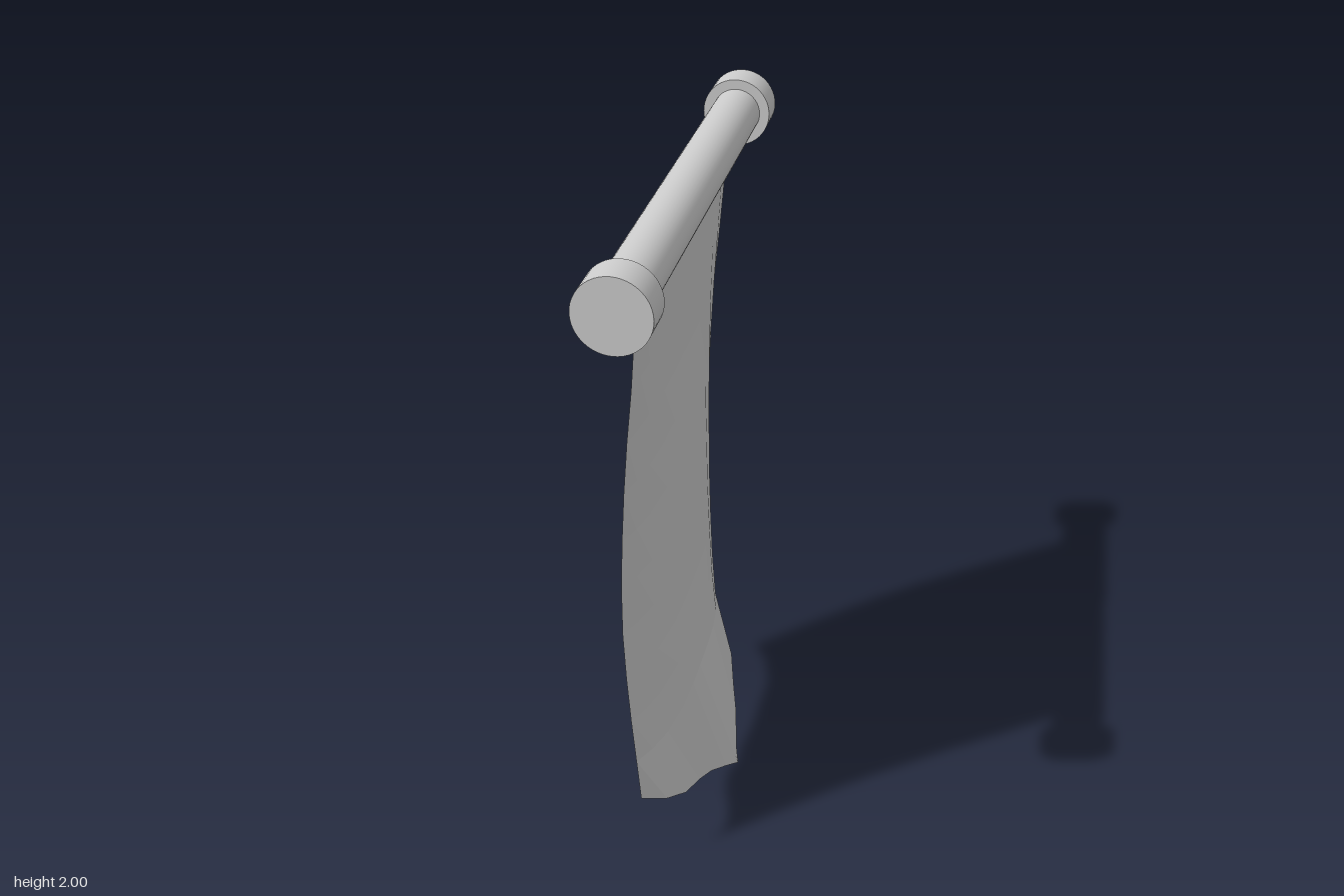
import * as THREE from 'three';

const ROD_X = -0.033, ROD_Y = 1.903;

// Height, +z edge, -z edge, then depth x at the middle, +z edge and -z edge
const ROWS = [
  [1.85, 0.525, 0.545, -0.035, -0.035, -0.035],
  [1.60, 0.523, 0.543, -0.039, -0.053, -0.056],
  [1.45, 0.521, 0.541, -0.040, -0.068, -0.070],
  [1.30, 0.519, 0.539, -0.038, -0.080, -0.083],
  [1.15, 0.517, 0.537, -0.035, -0.089, -0.094],
  [1.00, 0.515, 0.534, -0.030, -0.095, -0.103],
  [0.85, 0.512, 0.528, -0.025, -0.096, -0.107],
  [0.70, 0.509, 0.520, -0.017, -0.090, -0.107],
  [0.55, 0.505, 0.510, -0.007, -0.081, -0.105],
  [0.40, 0.500, 0.499, 0.010, -0.070, -0.103],
];

// Pointed, curled hem: x, y, z
const HEM = [
  [-0.06, 0.26, 0.495], [0, 0.215, 0.43], [0.038, 0.175, 0.35], [0.05, 0.115, 0.22],
  [0.065, 0.065, 0.12], [0.095, 0.015, 0.03], [0.125, 0, -0.01], [0.11, 0.015, -0.06],
  [0.085, 0.08, -0.17], [0.06, 0.125, -0.25], [0.035, 0.17, -0.34],
  [-0.02, 0.215, -0.43], [-0.10, 0.26, -0.485],
];

function clothGeometry() {
  const points = [];
  // Hanging rows: the side edges curl away from the middle
  for (const [y, zPlus, zMinus, xMid, xPlus, xMinus] of ROWS) {
    for (const [, , hemZ] of HEM) {
      const u = hemZ > 0 ? hemZ / 0.495 : hemZ / 0.485;
      const edgeX = u > 0 ? xPlus : xMinus;
      points.push(
        xMid + (edgeX - xMid) * Math.abs(u) ** 3.5,
        y,
        u * (u > 0 ? zPlus : zMinus)
      );
    }
  }
  HEM.forEach((p) => points.push(...p));

  const index = [], n = HEM.length;
  for (let r = 0; r < ROWS.length; r++) {
    for (let c = 0; c < n - 1; c++) {
      const a = r * n + c, b = a + n;
      index.push(a, b, b + 1, a, b + 1, a + 1);
    }
  }
  const g = new THREE.BufferGeometry();
  g.setAttribute('position', new THREE.Float32BufferAttribute(points, 3));
  g.setIndex(index);
  g.computeVertexNormals();
  return g;
}

export function createModel() {
  const model = new THREE.Group();
  model.name = 'hangingBanner';
  const grey = new THREE.MeshStandardMaterial({ color: 0xcccccc });
  const clothGrey = new THREE.MeshStandardMaterial({
    color: 0xcccccc, flatShading: true, side: THREE.DoubleSide,
  });

  const bar = (name, radius, length, z) => {
    const mesh = new THREE.Mesh(new THREE.CylinderGeometry(radius, radius, length, 48), grey);
    mesh.name = name;
    mesh.rotation.x = Math.PI / 2;
    mesh.position.set(ROD_X, ROD_Y, z);
    model.add(mesh);
  };

  // Rod with a wider cap on each end
  bar('rod', 0.069, 1.32, 0);
  bar('frontCap', 0.097, 0.1, 0.7);
  bar('backCap', 0.097, 0.1, -0.7);

  // Cloth hanging from the rod
  const cloth = new THREE.Mesh(clothGeometry(), clothGrey);
  cloth.name = 'cloth';
  model.add(cloth);

  return model;
}
